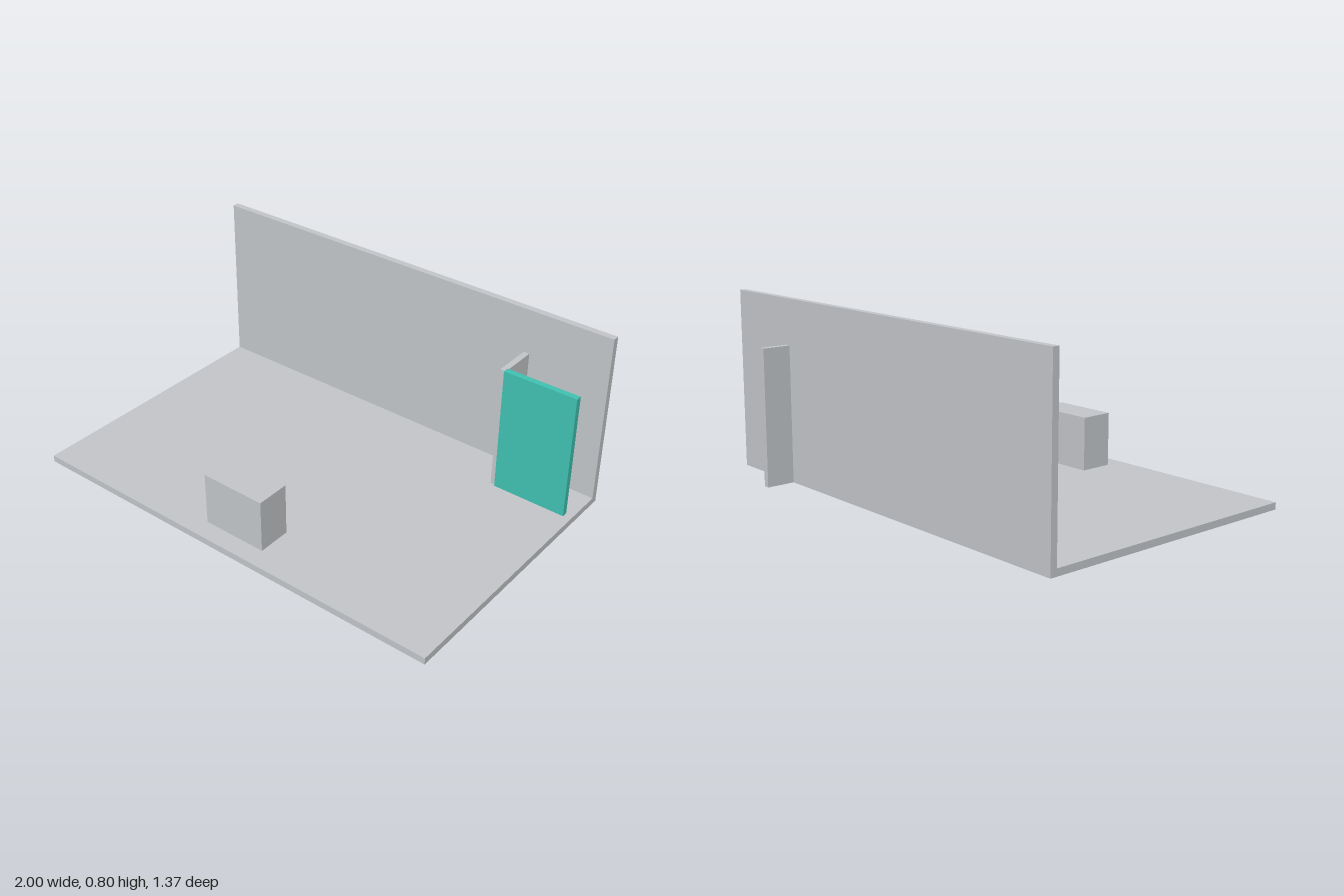
import * as THREE from 'three';

export function createModel() {
  const model = new THREE.Group();
  const grey = new THREE.MeshStandardMaterial({ color: 0xc3c6c9 });
  grey.name = 'light grey';
  const teal = new THREE.MeshStandardMaterial({ color: 0x40c2b2 });
  teal.name = 'teal';

  // Box given by its minimum and maximum corners
  function addBox(name, material, min, max) {
    const size = max.map((v, i) => v - min[i]);
    const mesh = new THREE.Mesh(new THREE.BoxGeometry(...size), material);
    mesh.position.set(...max.map((v, i) => (v + min[i]) / 2));
    mesh.name = name;
    model.add(mesh);
  }

  // Floor slab and the long wall behind it
  addBox('floor', grey, [-1, 0, -0.53], [1, 0.03, 0.687]);
  addBox('backWall', grey, [-1, 0, -0.56], [1, 0.8, -0.53]);

  // Free-standing block near the front edge
  addBox('block', grey, [-0.15, 0.03, 0.452], [0.147, 0.267, 0.602]);

  // Thin partition passing through the wall, with the door panel at its front end
  addBox('partition', grey, [0.608, 0, -0.687], [0.635, 0.6, -0.352]);
  addBox('doorPanel', teal, [0.63, 0.001, -0.372], [0.965, 0.602, -0.345]);

  return model;
}
